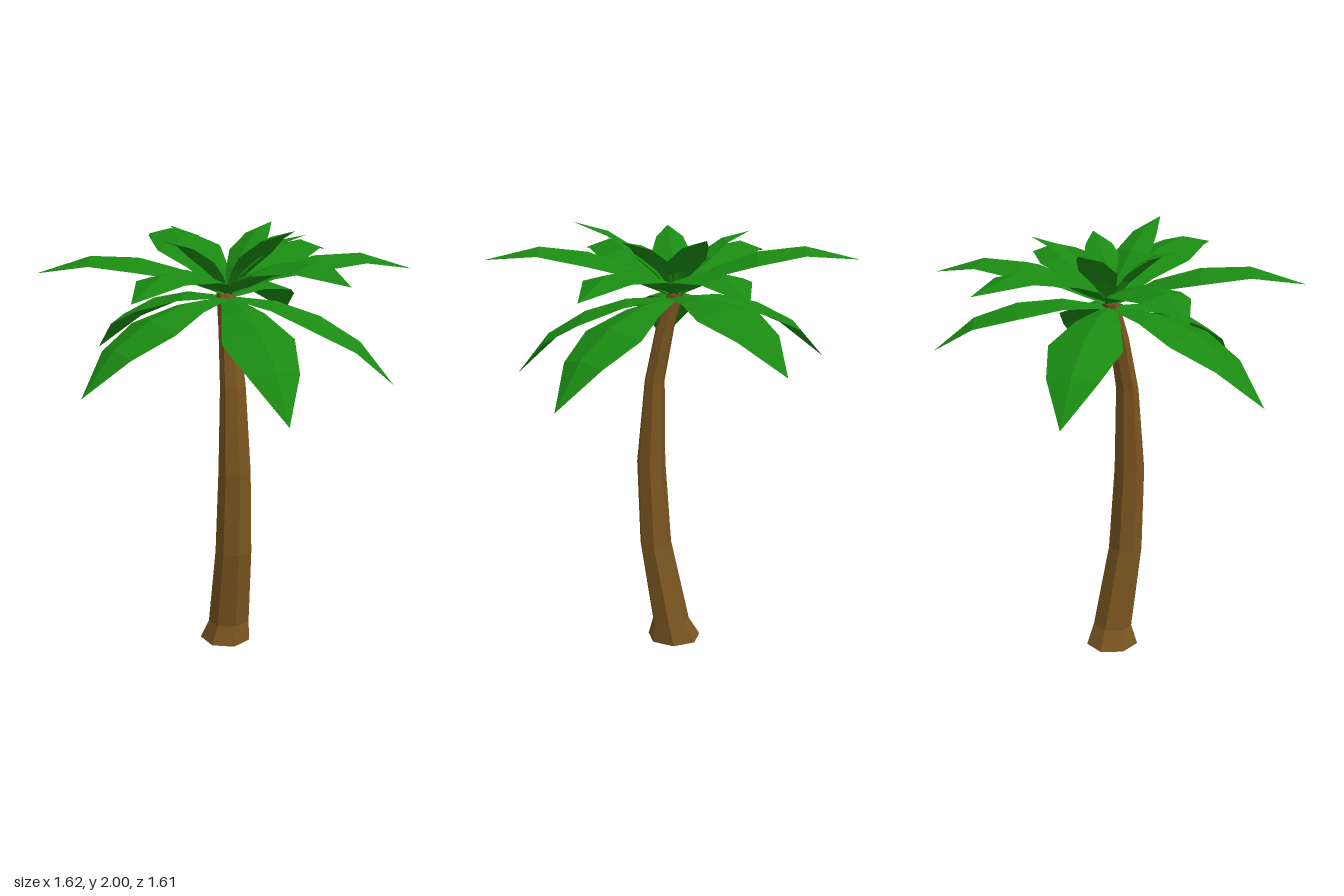
import * as THREE from 'three';

const leafMaterial = new THREE.MeshStandardMaterial({ color: 0x1a8a12, flatShading: true, side: THREE.DoubleSide });
const barkMaterial = new THREE.MeshStandardMaterial({ color: 0x7a5520, flatShading: true });

// Trunk rings: height, centre x, centre z, radius x, radius z
const RINGS = [
  [0, -0.022, -0.002, 0.12, 0.127],
  [0.09, -0.006, 0.01, 0.1, 0.088],
  [0.48, -0.009, 0.085, 0.088, 0.074],
  [0.88, -0.012, 0.106, 0.077, 0.067],
  [1.27, -0.014, 0.088, 0.062, 0.046],
  [1.52, -0.015, 0.038, 0.05, 0.042],
  [1.68, -0.015, -0.01, 0.043, 0.036],
];

// Leaf stations: fraction of length, upward bow, half width, drop of the edges below the ridge
const STATIONS = [
  [0, 0, 0.025, 0.006],
  [0.24, 0.085, 0.1, 0.03],
  [0.48, 0.118, 0.163, 0.042],
  [0.73, 0.102, 0.112, 0.03],
  [1, 0, 0, 0],
];

// Bent, tapering trunk: a cylinder whose rings follow the table
function makeTrunk() {
  const n = RINGS.length - 1;
  const geometry = new THREE.CylinderGeometry(1, 1, n, 7, n);
  const p = geometry.attributes.position;
  for (let i = 0; i < p.count; i++) {
    const [y, cx, cz, rx, rz] = RINGS[Math.round(p.getY(i) + n / 2)];
    p.setXYZ(i, cx + p.getX(i) * rx, y, cz + p.getZ(i) * rz);
  }
  geometry.computeVertexNormals();
  const trunk = new THREE.Mesh(geometry, barkMaterial);
  trunk.name = 'trunk';
  return trunk;
}

// Folded leaf with a raised ridge, arching from base to tip
function makeLeaf(name, base, tip, scale) {
  const along = tip.clone().sub(base);
  const side = new THREE.Vector3(0, 1, 0).cross(along).normalize();
  const up = along.clone().cross(side).normalize();
  const points = [];
  const index = [];
  STATIONS.forEach(([s, bow, width, drop], i) => {
    for (const k of [-1, 0, 1]) {
      const v = base.clone()
        .addScaledVector(along, s)
        .addScaledVector(up, (bow - Math.abs(k) * drop) * scale)
        .addScaledVector(side, k * width * scale);
      points.push(v);
    }
    if (i === 0) return;
    for (const j of [0, 1]) {
      const a = (i - 1) * 3 + j, b = a + 1, c = a + 3, d = a + 4;
      index.push(a, c, b);
      if (i < STATIONS.length - 1) index.push(b, c, d);
      else if (j === 0) continue;
    }
  });
  const geometry = new THREE.BufferGeometry().setFromPoints(points);
  geometry.setIndex(index);
  // Make sure the upper face is the front
  geometry.computeVertexNormals();
  if (geometry.attributes.normal.getY(4) < 0) {
    geometry.setIndex(index.reverse());
    geometry.computeVertexNormals();
  }
  const leaf = new THREE.Mesh(geometry, leafMaterial);
  leaf.name = name;
  return leaf;
}

// Tiers of leaves: base height, size and tip positions
const TIERS = [
  { name: 'upperLeaf', y: 1.675, scale: 1, tips: [
    [-0.14, 1.84, -0.81], [-0.81, 1.77, -0.26], [-0.61, 1.78, 0.6],
    [0.22, 1.83, 0.8], [0.805, 1.77, 0.17], [0.67, 1.77, -0.48]] },
  { name: 'droopingLeaf', y: 1.665, scale: 1, tips: [
    [-0.46, 1.33, -0.62], [-0.74, 1.32, 0.24], [-0.01, 1.27, 0.75],
    [0.66, 1.28, 0.33], [0.51, 1.45, -0.61]] },
  { name: 'innerLeaf', y: 1.68, scale: 0.55, tips: [
    [-0.18, 1.945, -0.31], [0.28, 1.955, -0.22], [0.3, 1.94, 0.14],
    [0.14, 2.0, 0.41], [-0.34, 1.94, 0.11]] },
];

export function createModel() {
  const model = new THREE.Group();
  model.name = 'palmTree';
  model.add(makeTrunk());
  const crown = new THREE.Group();
  crown.name = 'crown';
  for (const { name, y, scale, tips } of TIERS) {
    const base = new THREE.Vector3(-0.01, y, -0.005);
    tips.forEach((t, i) => crown.add(makeLeaf(name + (i + 1), base, new THREE.Vector3(...t), scale)));
  }
  model.add(crown);
  return model;
}
